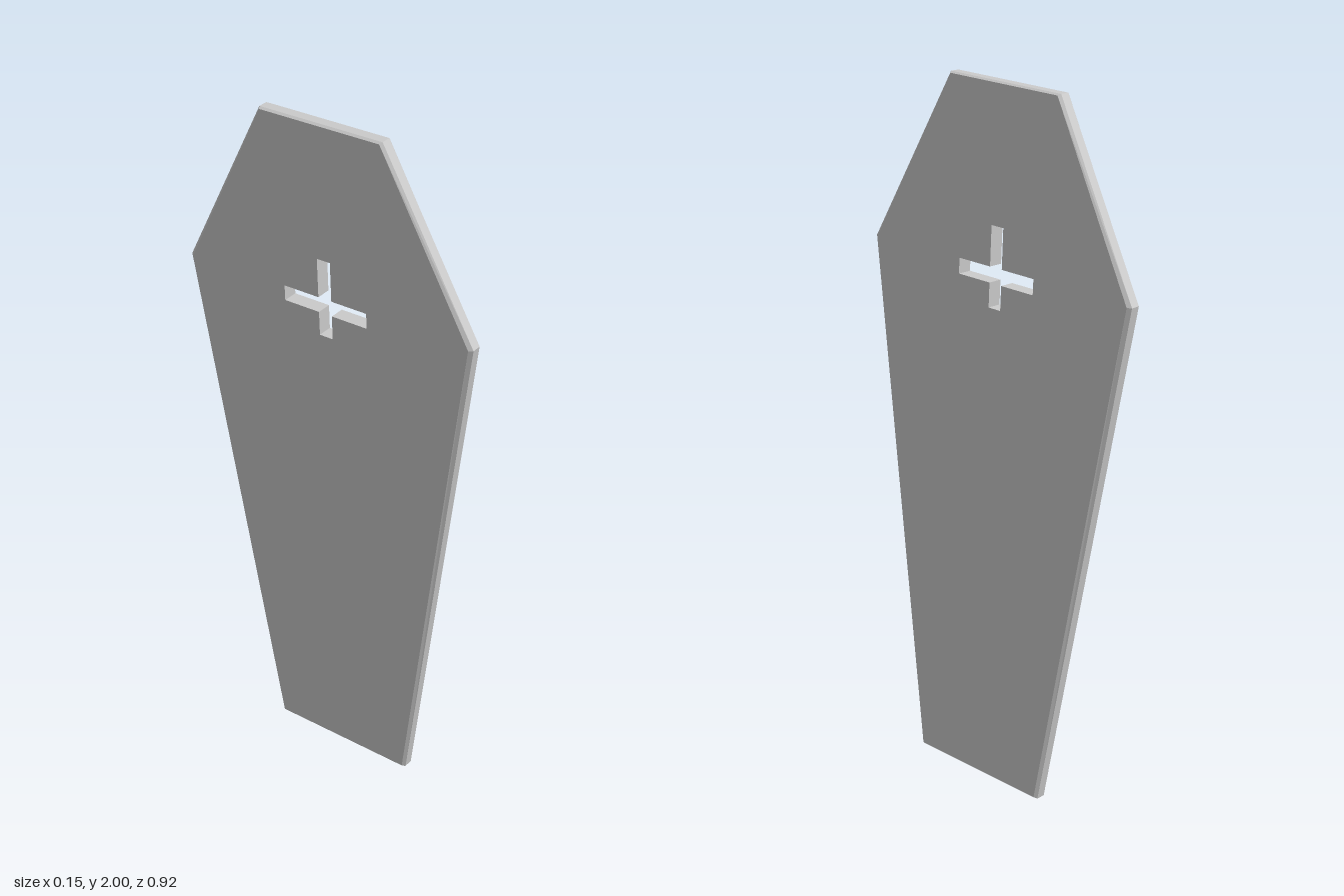
import * as THREE from 'three';
import { mergeGeometries } from 'three/addons/utils/BufferGeometryUtils.js';

const HALF = 0.0215;   // half of the board's thickness
const BEVEL = 0.008;   // depth of the edge chamfer
const TILT = 0.0525;   // lean of the board, in radians

// Six-sided outline, counter-clockwise, from half widths and heights
function outline(bottom, shoulder, top) {
  const right = [bottom, shoulder, top];
  const left = right.map(([u, v]) => [-u, v]).reverse();
  return [...right, ...left].map(([u, v]) => new THREE.Vector2(u, v));
}

// Wall joining two loops that lie at depths w0 and w1
function band(loop0, w0, loop1, w1) {
  const pos = [];
  loop0.forEach((a, i) => {
    const j = (i + 1) % loop0.length;
    const b = loop0[j], c = loop1[j], d = loop1[i];
    pos.push(a.x, a.y, w0, b.x, b.y, w0, c.x, c.y, w1);
    pos.push(a.x, a.y, w0, c.x, c.y, w1, d.x, d.y, w1);
  });
  const g = new THREE.BufferGeometry();
  g.setAttribute('position', new THREE.Float32BufferAttribute(pos, 3));
  g.computeVertexNormals();
  return g;
}

export function createModel() {
  const group = new THREE.Group();
  group.name = 'coffinLid';

  // Heights are measured from the middle of the board
  const outer = outline([0.227, -1], [0.458, 0.503], [0.191, 1]);
  const inner = outline([0.219, -0.996], [0.447, 0.503], [0.186, 0.996]);

  // Cross-shaped opening, clockwise
  const [arm, bar, lo, hi, b0, b1] = [0.133, 0.021, 0.395, 0.621, 0.464, 0.508];
  const cross = [
    [-bar, lo], [-bar, b0], [-arm, b0], [-arm, b1], [-bar, b1], [-bar, hi],
    [bar, hi], [bar, b1], [arm, b1], [arm, b0], [bar, b0], [bar, lo],
  ].map(([u, v]) => new THREE.Vector2(u, v));

  // Flat faces with the opening
  const face = new THREE.Shape(inner);
  face.holes.push(new THREE.Path(cross));
  const cap = () => {
    const g = new THREE.ShapeGeometry(face).toNonIndexed();
    g.deleteAttribute('uv');
    return g;
  };
  const frontCap = cap().translate(0, 0, HALF);
  const backCap = cap().rotateY(Math.PI).translate(0, 0, -HALF);

  // Faces, chamfered rim and the walls of the opening
  const rim = HALF - BEVEL;
  const geometry = mergeGeometries([
    frontCap,
    backCap,
    band(inner, -HALF, outer, -rim),
    band(outer, -rim, outer, rim),
    band(outer, rim, inner, HALF),
    band(cross, -HALF, cross, HALF),
  ]);

  // Turn the board to face sideways, lean it and stand it on the ground
  geometry.rotateY(Math.PI / 2).rotateZ(TILT);
  geometry.computeBoundingBox();
  geometry.translate(0, -geometry.boundingBox.min.y, 0);

  const board = new THREE.Mesh(
    geometry,
    new THREE.MeshStandardMaterial({ color: 0xcccccc, flatShading: true })
  );
  board.name = 'lidBoard';
  group.add(board);
  return group;
}
